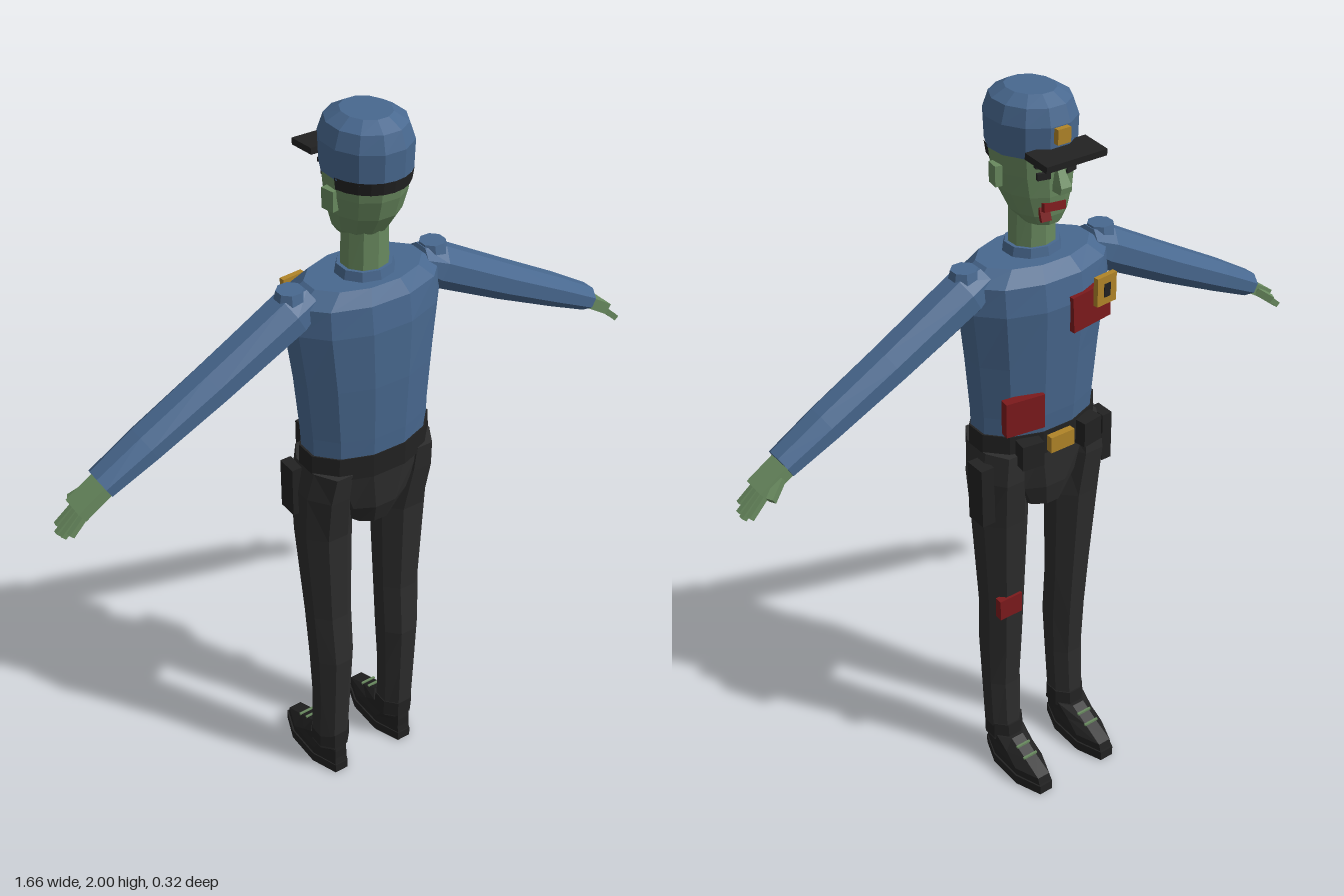
import * as THREE from 'three';

const mat = (name, color) => {
  const m = new THREE.MeshStandardMaterial({ color });
  m.name = name;
  return m;
};

// Flat-faced loft up the y axis; each section is [y, cx, cz, rx, rz]
function loft(sections, n) {
  const k = 1 / Math.cos(Math.PI / n);
  const rings = sections.map(([y, cx, cz, rx, rz]) => Array.from({ length: n }, (_, j) => {
    const a = (j + 0.5) / n * Math.PI * 2;
    return [cx + rx * k * Math.cos(a), y, cz + rz * k * Math.sin(a)];
  }));
  const centre = ([y, cx, cz]) => [cx, y, cz];
  const first = centre(sections[0]), last = centre(sections.at(-1));
  const pos = [];
  for (let j = 0; j < n; j++) {
    const q = (j + 1) % n;
    for (let i = 0; i < rings.length - 1; i++) {
      const a = rings[i][j], b = rings[i][q], c = rings[i + 1][q], d = rings[i + 1][j];
      pos.push(...a, ...d, ...b, ...b, ...d, ...c);
    }
    pos.push(...first, ...rings[0][j], ...rings[0][q]);
    pos.push(...last, ...rings.at(-1)[q], ...rings.at(-1)[j]);
  }
  const g = new THREE.BufferGeometry();
  g.setAttribute('position', new THREE.Float32BufferAttribute(pos, 3));
  g.computeVertexNormals();
  return g;
}

function add(parent, name, geometry, material, p = [0, 0, 0], r = [0, 0, 0]) {
  const m = new THREE.Mesh(geometry, material);
  m.name = name;
  m.position.set(...p);
  m.rotation.set(...r);
  parent.add(m);
  return m;
}
const box = (parent, name, size, material, p, r) =>
  add(parent, name, new THREE.BoxGeometry(...size), material, p, r);

export function createModel() {
  const model = new THREE.Group();
  model.name = 'officer';
  const blue = mat('shirtBlue', 0x48688f);
  const skin = mat('greenSkin', 0x698a5f);
  const black = mat('trouserBlack', 0x2d2d2d);
  const dark = mat('leatherDark', 0x222222);
  const red = mat('woundRed', 0x7c1a1c);
  const gold = mat('brassGold', 0xb08428);

  // Torso, collar and neck
  add(model, 'shirt', loft([
    [1.12, 0, 0.048, 0.168, 0.105], [1.2, 0, 0.046, 0.17, 0.112], [1.35, 0, 0.043, 0.182, 0.12],
    [1.5, 0, 0.037, 0.2, 0.125], [1.57, 0, 0.037, 0.198, 0.115], [1.605, 0, 0.04, 0.15, 0.09],
  ], 12), blue);
  add(model, 'collar', loft([[1.59, 0, 0.045, 0.075, 0.068], [1.628, 0, 0.045, 0.066, 0.06]], 10), blue);
  add(model, 'neck', loft([[1.6, 0, 0.045, 0.058, 0.053], [1.74, 0, 0.045, 0.054, 0.053]], 10), skin);

  // Head and face
  const head = new THREE.Group();
  head.name = 'head';
  model.add(head);
  add(head, 'skull', loft([
    [1.695, 0, 0.01, 0.045, 0.05], [1.72, 0, 0.025, 0.064, 0.073], [1.77, 0, 0.038, 0.082, 0.092],
    [1.82, 0, 0.045, 0.091, 0.1], [1.89, 0, 0.048, 0.095, 0.106],
  ], 12), skin);
  add(head, 'nose', loft([[1.785, 0, -0.062, 0.016, 0.022], [1.8, 0, -0.066, 0.015, 0.021],
    [1.845, 0, -0.053, 0.008, 0.008]], 4), skin);
  box(head, 'mouth', [0.06, 0.02, 0.012], red, [0.008, 1.745, -0.05], [0.15, 0, 0.1]);
  box(head, 'chinBlood', [0.025, 0.035, 0.012], red, [0.028, 1.728, -0.042], [0.3, -0.2, 0]);
  for (const s of [-1, 1]) {
    box(head, 'ear', [0.018, 0.05, 0.036], skin, [s * 0.097, 1.812, 0.05], [0, s * -0.2, 0]);
    box(head, 'eye', [0.032, 0.016, 0.009], dark, [s * 0.038, 1.826, -0.051], [0, s * -0.25, 0]);
    box(head, 'eyebrow', [0.042, 0.01, 0.012], dark, [s * 0.04, 1.852, -0.054], [0, s * -0.25, s * 0.12]);
  }
  const hair = new THREE.CylinderGeometry(1.02, 0.98, 0.03, 10, 1, true, -1.35, 2.7).toNonIndexed();
  hair.scale(0.102, 1, 0.112);
  hair.computeVertexNormals();
  add(head, 'hair', hair, dark, [0, 1.859, 0.048]);

  // Peaked cap
  add(head, 'cap', loft([
    [1.868, 0, 0.048, 0.1, 0.109], [1.94, 0, 0.048, 0.102, 0.112],
    [1.98, 0, 0.048, 0.088, 0.099], [2, 0, 0.048, 0.055, 0.064],
  ], 12), blue);
  box(head, 'capPeak', [0.168, 0.016, 0.08], dark, [0, 1.88, -0.084], [-0.08, 0, 0]);
  box(head, 'capBadge', [0.036, 0.036, 0.016], gold, [0, 1.92, -0.07]);

  // Pelvis, belt and belt gear
  add(model, 'pelvis', loft([
    [0.905, 0, 0.04, 0.07, 0.08], [0.97, 0, 0.045, 0.11, 0.098], [1.09, 0, 0.047, 0.168, 0.106],
  ], 12), black);
  add(model, 'belt', loft([[1.085, 0, 0.047, 0.176, 0.11], [1.15, 0, 0.047, 0.174, 0.11]], 12), dark);
  box(model, 'buckle', [0.072, 0.045, 0.024], gold, [0, 1.115, -0.07]);
  for (const s of [-1, 1]) {
    box(model, 'beltPouch', [0.06, 0.07, 0.04], dark, [s * 0.09, 1.108, -0.065], [0, s * -0.15, 0]);
  }
  box(model, 'holster', [0.038, 0.17, 0.06], dark, [0.19, 0.99, 0.005]);
  box(model, 'radio', [0.03, 0.14, 0.055], dark, [-0.19, 1.02, 0.005]);

  // Chest badge and torn, bloody patches
  const badge = new THREE.Group();
  badge.name = 'chestBadge';
  badge.position.set(-0.11, 1.515, -0.097);
  badge.rotation.y = 0.1;
  model.add(badge);
  box(badge, 'badgePlate', [0.062, 0.075, 0.014], gold);
  box(badge, 'badgeInset', [0.02, 0.035, 0.006], dark, [0, 0, -0.006]);
  box(model, 'chestWound', [0.12, 0.095, 0.024], red, [-0.075, 1.475, -0.08], [0, 0.1, -0.05]);
  box(model, 'bellyWound', [0.105, 0.095, 0.026], red, [0.105, 1.225, -0.059], [0, -0.15, 0]);
  box(model, 'legWound', [0.07, 0.062, 0.022], red, [0.127, 0.605, -0.017]);

  // Limbs, built on the +x side and mirrored
  for (const s of [1, -1]) {
    const side = new THREE.Group();
    side.name = s > 0 ? 'leftLimbs' : 'rightLimbs';
    side.scale.x = s;
    model.add(side);

    // Sleeve, sloping down from the shoulder
    const slope = Math.atan2(0.295, 0.56);
    add(side, 'sleeve', loft([
      [0, 0, 0, 0.035, 0.045], [0.06, 0, 0, 0.053, 0.056], [0.3, 0.002, 0, 0.047, 0.053],
      [0.5, 0, 0, 0.04, 0.05], [0.633, 0, 0, 0.032, 0.044],
    ], 8), blue, [0.15, 1.575, 0.037], [0, 0, -Math.PI / 2 - slope]);
    add(side, 'shoulderSeam', loft([[1.56, 0.2, 0.037, 0.042, 0.042], [1.61, 0.2, 0.037, 0.03, 0.03]], 8), blue);

    // Hand
    box(side, 'palm', [0.085, 0.03, 0.066], skin, [0.74, 1.255, 0.037], [0, 0, -0.56]);
    box(side, 'thumb', [0.055, 0.02, 0.018], skin, [0.748, 1.245, 0], [0, 0.5, -0.6]);
    for (let f = 0; f < 4; f++) {
      const len = [0.06, 0.072, 0.068, 0.052][f];
      box(side, 'finger', [len, 0.015, 0.013], skin,
        [0.77 + len * 0.37, 1.229 - len * 0.33, 0.012 + f * 0.0175], [0, 0.12 - f * 0.08, -0.73]);
    }

    // Trouser leg
    add(side, 'trouserLeg', loft([
      [0.09, 0.112, 0.043, 0.046, 0.05], [0.3, 0.11, 0.052, 0.05, 0.051], [0.44, 0.109, 0.051, 0.055, 0.059],
      [0.6, 0.111, 0.04, 0.058, 0.058], [0.88, 0.117, 0.032, 0.07, 0.07], [1.02, 0.125, 0.037, 0.065, 0.09],
      [1.1, 0.12, 0.045, 0.055, 0.095],
    ], 8), black);

    // Shoe
    add(side, 'shoeSole', loft([[0, 0.11, -0.03, 0.05, 0.13], [0.03, 0.11, -0.03, 0.05, 0.13]], 8), dark);
    add(side, 'shoeUpper', loft([
      [0.03, 0.11, -0.028, 0.046, 0.126], [0.052, 0.11, -0.026, 0.047, 0.122],
      [0.08, 0.11, 0.006, 0.044, 0.09], [0.11, 0.11, 0.035, 0.046, 0.058],
    ], 8), dark);
    add(side, 'shoeCollar', loft([[0.1, 0.11, 0.042, 0.05, 0.056], [0.15, 0.11, 0.044, 0.048, 0.053]], 8), dark);
    for (let i = 0; i < 2; i++) {
      box(side, 'lace', [0.045, 0.006, 0.006], skin, [0.11, 0.082 + i * 0.017, -0.084 + i * 0.033]);
    }
  }
  return model;
}
